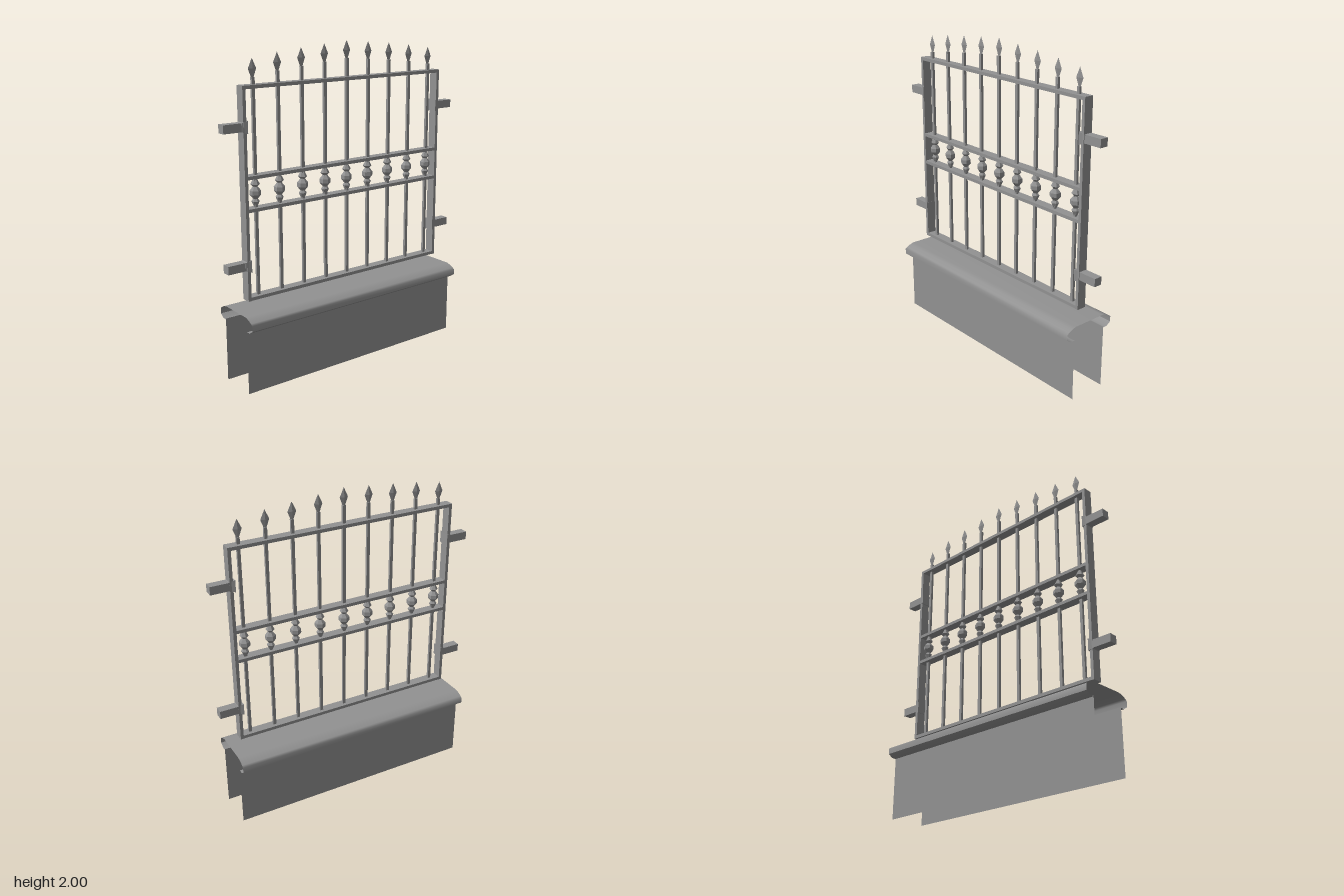
import * as THREE from 'three';

const GREY = 0x929292;
const metal = new THREE.MeshStandardMaterial({ color: GREY, flatShading: true });
const sheet = new THREE.MeshStandardMaterial({ color: GREY, side: THREE.DoubleSide });
const Z = 0.01; // middle plane of the ironwork

function add(parent, name, geometry, x, y, z, material = metal) {
  const mesh = new THREE.Mesh(geometry, material);
  mesh.name = name;
  mesh.position.set(x, y, z);
  parent.add(mesh);
  return mesh;
}

// Open sheet, smooth along its [z, y] profile, drawn out along x
function sweep(profile, halfLength) {
  const pos = [], index = [];
  for (const [z, y] of profile) pos.push(-halfLength, y, z, halfLength, y, z);
  for (let i = 0; i < profile.length - 1; i++) {
    const a = 2 * i;
    index.push(a, a + 1, a + 2, a + 1, a + 3, a + 2);
  }
  const g = new THREE.BufferGeometry();
  g.setAttribute('position', new THREE.Float32BufferAttribute(pos, 3));
  g.setIndex(index);
  g.computeVertexNormals();
  return g;
}

function buildWall() {
  const wall = new THREE.Group();
  wall.name = 'wall';
  const mirror = (profile) => profile.map(([z, y]) => [-z, y]).reverse();

  // Two open wall faces, each with the underside of the drip edge above it
  const face = [[0.12, 0], [0.12, 0.395]];
  const drip = [[0.12, 0.39], [0.148, 0.39], [0.178, 0.41]];
  add(wall, 'wallFront', sweep(face, 0.8), 0, 0, 0, sheet);
  add(wall, 'wallBack', sweep(mirror(face), 0.8), 0, 0, 0, sheet);
  add(wall, 'dripEdgeFront', sweep(drip, 0.8), 0, 0, 0, sheet);
  add(wall, 'dripEdgeBack', sweep(mirror(drip), 0.8), 0, 0, 0, sheet);

  // Rounded coping
  const half = [[0.178, 0.41], [0.178, 0.445], [0.165, 0.455], [0.14, 0.468], [0.11, 0.476]];
  add(wall, 'coping', sweep([...half, ...mirror(half)], 0.8), 0, 0, 0, sheet);
  return wall;
}

function buildFrame() {
  const frame = new THREE.Group();
  frame.name = 'frame';
  for (const s of [-1, 1]) {
    add(frame, s > 0 ? 'leftPost' : 'rightPost', new THREE.BoxGeometry(0.02, 1.25, 0.06), 0.003 + s * 0.728, 1.16, Z);
  }
  for (const [name, y] of [['bottomRail', 0.546], ['lowerMiddleRail', 1.075], ['upperMiddleRail', 1.265], ['topRail', 1.775]]) {
    add(frame, name, new THREE.BoxGeometry(1.44, 0.02, 0.06), 0.003, y, Z);
  }
  return frame;
}

// Square arm with a flared foot that grips the post
function buildBracket(side, y) {
  const bracket = new THREE.Group();
  bracket.name = 'bracket';
  add(bracket, 'bracketArm', new THREE.BoxGeometry(0.125, 0.05, 0.053), side * 0.796, y, Z - 0.003);
  const foot = new THREE.CylinderGeometry(0.025 * Math.SQRT2, 0.037 * Math.SQRT2, 0.035, 4);
  foot.rotateY(Math.PI / 4);
  foot.rotateZ(-side * Math.PI / 2);
  add(bracket, 'bracketFoot', foot, side * 0.727, y, Z);
  return bracket;
}

function buildBaluster(x, tip) {
  const baluster = new THREE.Group();
  baluster.name = 'baluster';
  const base = tip - 0.105, bottom = 0.55;
  // Upright square bar
  add(baluster, 'bar', new THREE.BoxGeometry(0.019, base - bottom, 0.016), x, (base + bottom) / 2, Z);
  // Faceted knob between the middle rails: one large bulb between two small ones
  const profile = [
    [0.009, -0.085], [0.024, -0.05], [0.014, -0.036], [0.033, -0.012],
    [0.033, 0.012], [0.014, 0.036], [0.027, 0.05], [0.009, 0.085],
  ].map(([r, y]) => new THREE.Vector2(r, y));
  add(baluster, 'knob', new THREE.LatheGeometry(profile, 6), x, 1.17, Z - 0.003);
  // Flattened spear head
  const spear = [[0.009, 0], [0.027, 0.047], [0, 0.105]].map(([r, y]) => new THREE.Vector2(r, y));
  const head = add(baluster, 'spearHead', new THREE.LatheGeometry(spear, 4), x, base, Z - 0.002);
  head.scale.z = 0.3;
  return baluster;
}

export function createModel() {
  const model = new THREE.Group();
  model.name = 'fencePanel';
  model.add(buildWall(), buildFrame());
  for (const side of [-1, 1]) {
    for (const y of [0.747, 1.555]) model.add(buildBracket(side, y));
  }
  // Spear tips rise in a gentle arc toward the middle
  const tips = [2.0, 1.987, 1.972, 1.955, 1.93];
  for (let i = -4; i <= 4; i++) model.add(buildBaluster(0.008 + i * 0.1645, tips[Math.abs(i)]));
  return model;
}
